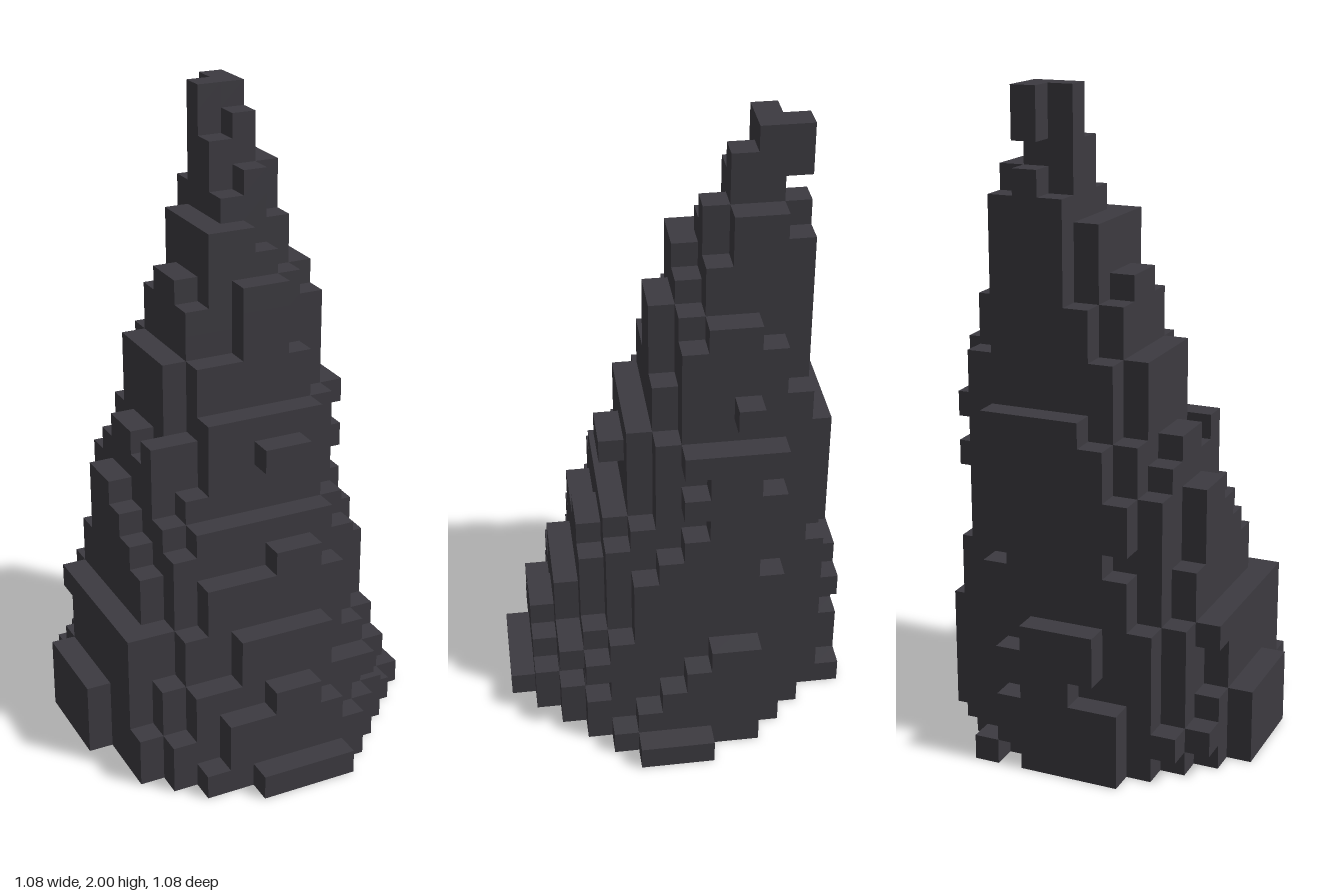
import * as THREE from 'three';

const LAYERS = 26;
const CELL = 2 / LAYERS;

// Expands [count, value] runs into one value per layer
const runs = (...list) => list.flatMap(([n, v]) => Array(n).fill(v));

// Extents of every layer, in cells, from the ground up
const left = runs([3, -7], [3, -6], [5, -5], [2, -4], [3, -3], [3, -2], [2, -1], [5, 0]);
const right = runs([5, 6], [9, 5], [5, 4], [4, 3], [3, 2]);
const front = runs([1, 7], [3, 6], [2, 5], [3, 4], [1, 3], [4, 2], [5, 1], [2, 0], [2, -1], [2, -2], [1, -3]);
const back = runs([6, -7], [8, -6], [9, -5], [1, -4], [2, -5]);

// Radius of every layer, in cells
const radius = (y) => Math.min(6.6, 6.85 - 0.23 * y);

// Slanting cuts on the corners and on the foot's left and right faces
const keeps = (x, y, z) =>
  x + z <= 7 && x - z <= 8 && z - x <= (x === -7 ? 7 : 9) && !(x === 5 && y > 0 && y + z > 2);

// Single cells added to or chipped from the rounded layers: [x, layer, z]
const bumps = [
  [0, 12, 2], [1, 12, 2], [4, 15, -3], // knobs
  [6, 0, -1], [6, 0, 0], [6, 0, 1], [1, 0, 6], [-3, 0, -7], [2, 0, -7], // foot
  [2, 1, 5], [1, 5, 4], [2, 6, 3], [2, 7, 3], [-2, 13, 1], // front terraces
  [-4, 11, 0], [-4, 12, 0], [-1, 19, -1], [-1, 20, -1], // front right corner
];
const chips = [
  [0, 24, -3], [0, 24, -5], [0, 25, -5], [2, 21, -2], [1, 20, -1], // peak
  [-1, 16, 0], [-1, 17, 0], [2, 16, 0], [2, 17, 0], [-2, 8, 3], [-1, 8, 3], // front
];
// Upright ridge on the back left corner
for (let y = 14; y < 22; y++) bumps.push([2, y, -5]);
for (let y = 14; y < 16; y++) bumps.push([3, y, -5]);
// Fuller front right corner low down
for (let y = 1; y < 6; y++) for (let z = 0; z < 3; z++) bumps.push([-6, y, z]);

function buildCells() {
  const cells = new Map();
  const put = (c) => cells.set(c.join(), c);
  for (let y = 0; y < LAYERS; y++) {
    const cx = (right[y] + left[y]) / 2, cz = (front[y] + back[y]) / 2;
    for (let x = left[y]; x < right[y]; x++) {
      for (let z = back[y]; z < front[y]; z++) {
        const inside = Math.hypot(x + 0.5 - cx, z + 0.5 - cz) <= radius(y);
        if (inside && keeps(x, y, z)) put([x, y, z]);
      }
    }
  }
  bumps.forEach(put);
  chips.forEach((c) => cells.delete(c.join()));
  return cells;
}

// Only the outward faces of the cells
function shellGeometry(cells) {
  const position = [], normal = [], index = [];
  const corners = [[0, 0], [1, 0], [1, 1], [0, 1]];
  for (const cell of cells.values()) {
    for (let d = 0; d < 3; d++) {
      for (const s of [1, -1]) {
        const next = [...cell];
        next[d] += s;
        if (cells.has(next.join())) continue;
        const n = [0, 0, 0];
        n[d] = s;
        const base = position.length / 3;
        for (const [u, v] of corners) {
          const p = [...cell];
          if (s > 0) p[d] += 1;
          p[(d + 1) % 3] += u;
          p[(d + 2) % 3] += v;
          position.push(...p.map((k) => k * CELL));
          normal.push(...n);
        }
        const order = s > 0 ? [0, 1, 2, 0, 2, 3] : [0, 2, 1, 0, 3, 2];
        index.push(...order.map((k) => base + k));
      }
    }
  }
  const geometry = new THREE.BufferGeometry();
  geometry.setAttribute('position', new THREE.Float32BufferAttribute(position, 3));
  geometry.setAttribute('normal', new THREE.Float32BufferAttribute(normal, 3));
  geometry.setIndex(index);
  return geometry;
}

export function createModel() {
  const stone = new THREE.MeshStandardMaterial({ color: 0x3c3a40 });
  stone.name = 'dark stone';
  const spire = new THREE.Mesh(shellGeometry(buildCells()), stone);
  spire.name = 'rockSpire';
  const group = new THREE.Group();
  group.name = 'blockySpire';
  group.add(spire);
  return group;
}
